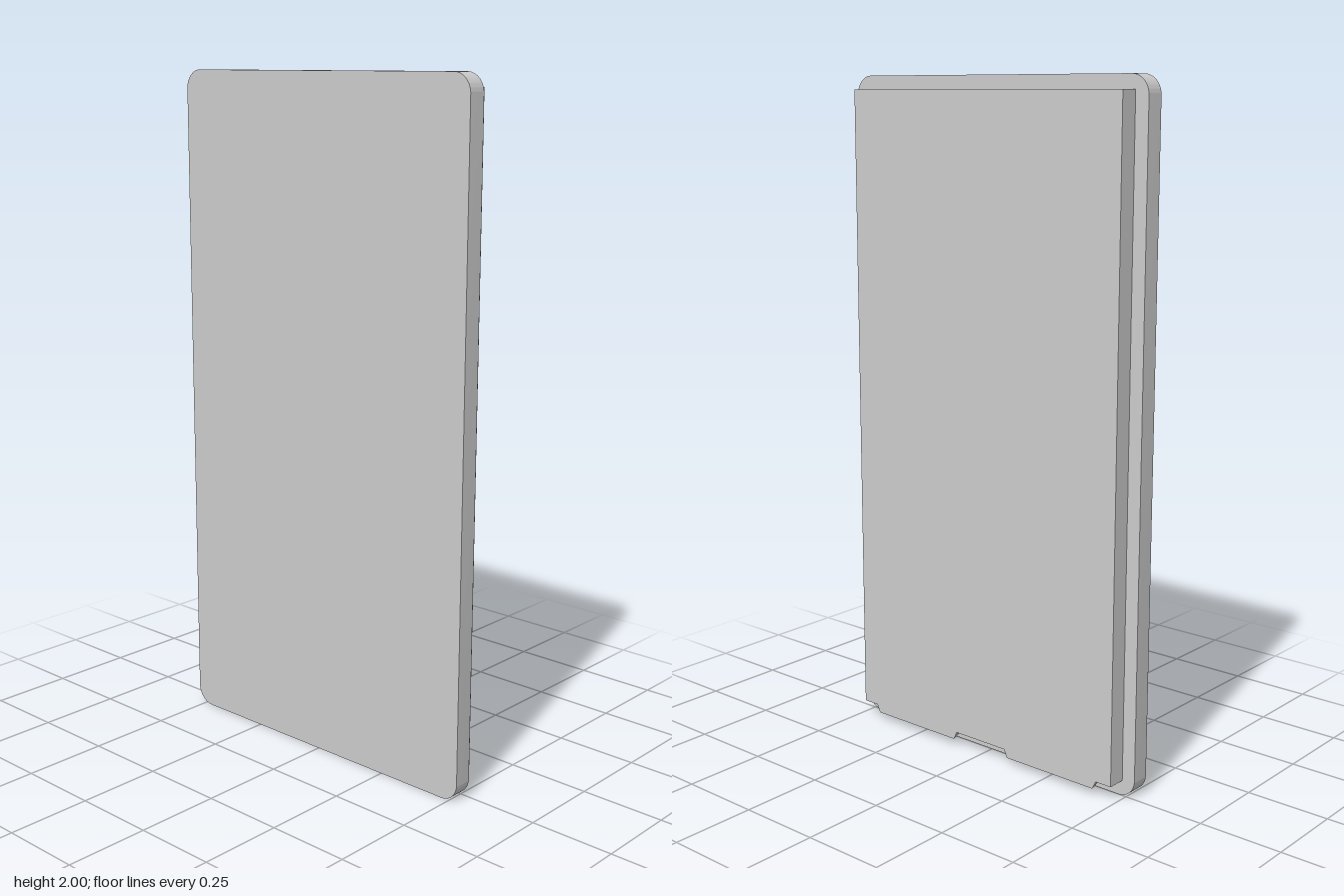
import * as THREE from 'three';
import { toCreasedNormals } from 'three/addons/utils/BufferGeometryUtils.js';

const T = 0.056; // thickness of each layer

function roundedRect(x0, y0, x1, y1, r) {
  const s = new THREE.Shape();
  s.absarc(x1 - r, y0 + r, r, -Math.PI / 2, 0);
  s.absarc(x1 - r, y1 - r, r, 0, Math.PI / 2);
  s.absarc(x0 + r, y1 - r, r, Math.PI / 2, Math.PI);
  s.absarc(x0 + r, y0 + r, r, Math.PI, Math.PI * 1.5);
  s.closePath();
  return s;
}

// Triangular catch under the back panel, narrowing slightly toward its tip
function catchGeometry(length, rootY, tipY, taper) {
  const profile = new THREE.Shape([
    new THREE.Vector2(-T, tipY),
    new THREE.Vector2(-T + 0.027, rootY),
    new THREE.Vector2(-T, rootY),
  ]);
  const geo = new THREE.ExtrudeGeometry(profile, { depth: length, bevelEnabled: false });
  geo.rotateY(-Math.PI / 2).translate(length / 2, 0, 0);
  const p = geo.attributes.position;
  for (let i = 0; i < p.count; i++) {
    if (p.getY(i) < rootY - 0.01) p.setX(i, p.getX(i) - Math.sign(p.getX(i)) * taper);
  }
  geo.computeVertexNormals();
  return geo;
}

export function createModel() {
  const model = new THREE.Group();
  const material = new THREE.MeshStandardMaterial({ color: 0xcccccc });
  const add = (name, geometry, x = 0, y = 0, z = 0) => {
    const mesh = new THREE.Mesh(geometry, material);
    mesh.name = name;
    mesh.position.set(x, y, z);
    model.add(mesh);
  };

  // Front plate with rounded corners
  const plate = new THREE.ExtrudeGeometry(roundedRect(-0.528, 0, 0.528, 2, 0.055), {
    depth: T, bevelEnabled: false, curveSegments: 12,
  });
  add('frontPlate', toCreasedNormals(plate, 0.5));

  // Smaller square-cornered panel behind it
  const bottom = 0.045, top = 1.96;
  add('backPanel', new THREE.BoxGeometry(0.972, top - bottom, T), 0, (top + bottom) / 2, -T / 2);

  // Pair of catches along the bottom edge
  for (const side of [1, -1]) {
    add(side > 0 ? 'leftCatch' : 'rightCatch', catchGeometry(0.34, bottom, 0.021, 0.012), side * 0.264);
  }
  return model;
}
